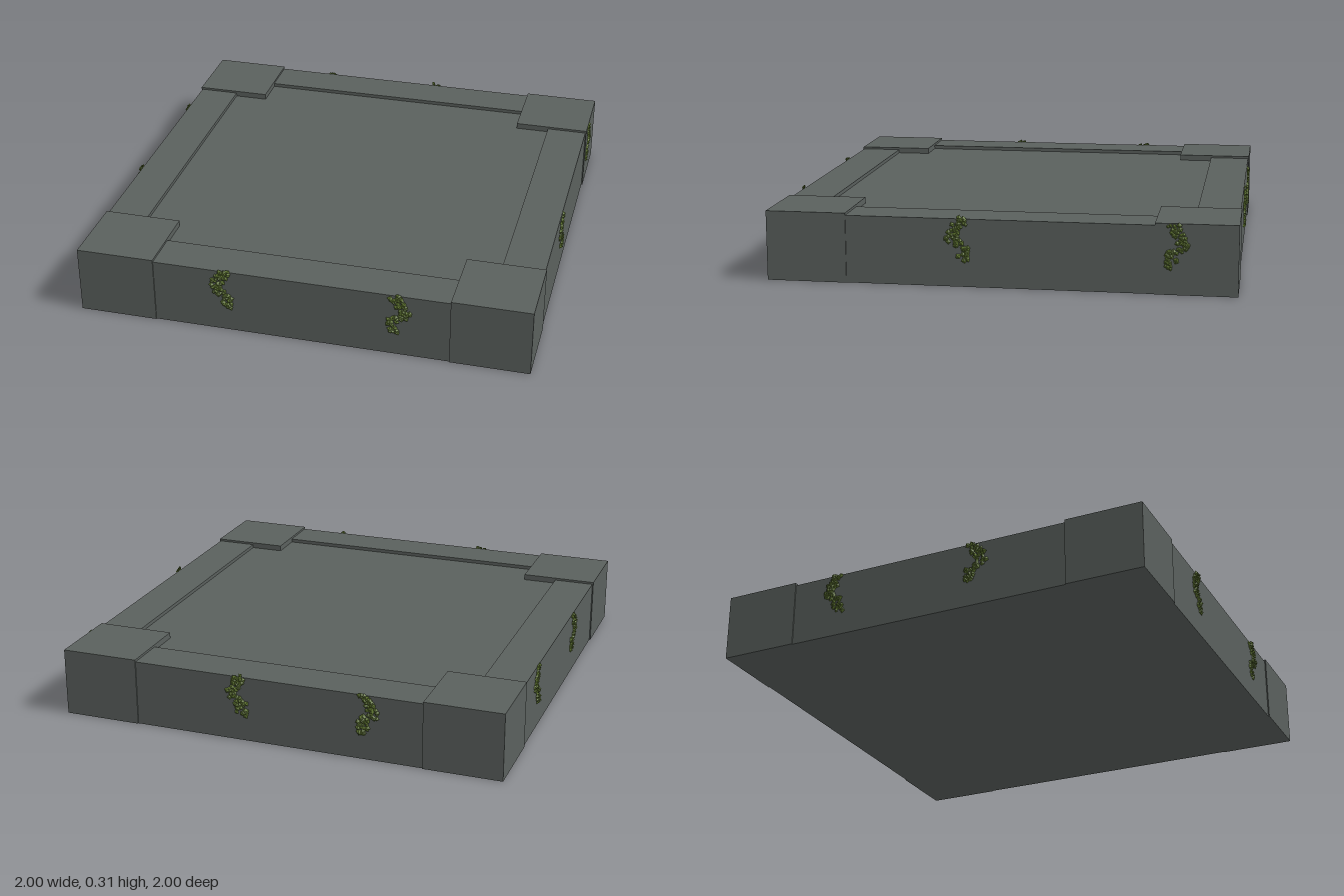
import * as THREE from 'three';
import { mergeGeometries } from 'three/addons/utils/BufferGeometryUtils.js';

export function createModel() {
  const group = new THREE.Group();
  const stone = new THREE.MeshStandardMaterial({ color: 0x5a605d });
  stone.name = 'grey stone';
  const moss = new THREE.MeshStandardMaterial({ color: 0x5f7530, flatShading: true, side: THREE.DoubleSide });
  moss.name = 'moss green';

  const OUT = 0.988, BODY = 0.983, INNER = 0.80, CORNER = 0.342;
  const RIM = 0.288, PANEL = 0.272, CAP = 0.298;

  function box(name, x, y, z, w, h, d) {
    const mesh = new THREE.Mesh(new THREE.BoxGeometry(w, h, d), stone);
    mesh.name = name;
    mesh.position.set(x, y, z);
    group.add(mesh);
  }

  // Sunken centre panel
  box('centrePanel', 0, PANEL / 2, 0, INNER * 2, PANEL, INNER * 2);

  // Raised border on all four sides
  const border = BODY - INNER, mid = (BODY + INNER) / 2;
  for (const s of [-1, 1]) {
    box('longBorder', 0, RIM / 2, s * mid, BODY * 2, RIM, border);
    box('sideBorder', s * mid, RIM / 2, 0, border, RIM, INNER * 2);
  }

  // Slightly proud corner blocks
  for (const sx of [-1, 1]) for (const sz of [-1, 1]) {
    const c = OUT - CORNER / 2;
    box('cornerBlock', sx * c, CAP / 2, sz * c, CORNER, CAP, CORNER);
  }

  // Seeded noise for the leaves
  let seed = 7;
  const rand = () => {
    seed = (seed * 16807) % 2147483647;
    return seed / 2147483647;
  };
  const spread = (r) => (rand() * 2 - 1) * r;

  // A trailing moss strand: small pointed leaves along a bent path, facing +z
  function strandGeometry(bend) {
    const path = new THREE.CatmullRomCurve3([
      [0.012, 0.288], [-0.012, 0.25], [-0.036, 0.205], [0.012, 0.165], [0.016, 0.115],
    ].map(([x, y]) => new THREE.Vector3(x * bend, y, 0)));
    const leaves = [];
    const count = 72;
    for (let i = 0; i < count; i++) {
      const p = path.getPoint(i / (count - 1));
      const leaf = new THREE.ConeGeometry(0.009 + rand() * 0.005, 0.012, 4, 1, true);
      leaf.rotateX(Math.PI / 2);
      leaf.rotateZ(rand() * Math.PI);
      leaf.translate(p.x + spread(0.024), p.y + spread(0.011), 0.004 + rand() * 0.002);
      leaves.push(leaf);
    }
    return mergeGeometries(leaves);
  }

  // Two strands per side: [offset along the side, bend direction]
  const sides = [
    { name: 'frontMoss', turn: 0, strands: [[-0.335, 1], [0.42, -1]] },
    { name: 'rightMoss', turn: Math.PI / 2, strands: [[-0.16, 1], [0.73, -1]] },
    { name: 'backMoss', turn: Math.PI, strands: [[-0.17, 1], [0.40, -1]] },
    { name: 'leftMoss', turn: -Math.PI / 2, strands: [[-0.44, 1], [0.23, -1]] },
  ];
  for (const { name, turn, strands } of sides) {
    const side = new THREE.Group();
    side.name = name;
    side.rotation.y = turn;
    for (const [x, bend] of strands) {
      const mesh = new THREE.Mesh(strandGeometry(bend), moss);
      mesh.name = 'mossStrand';
      // Strands over the corner blocks sit on the prouder face
      mesh.position.set(x, 0, Math.abs(x) > OUT - CORNER ? OUT : BODY + 0.003);
      side.add(mesh);
    }
    group.add(side);
  }
  return group;
}
